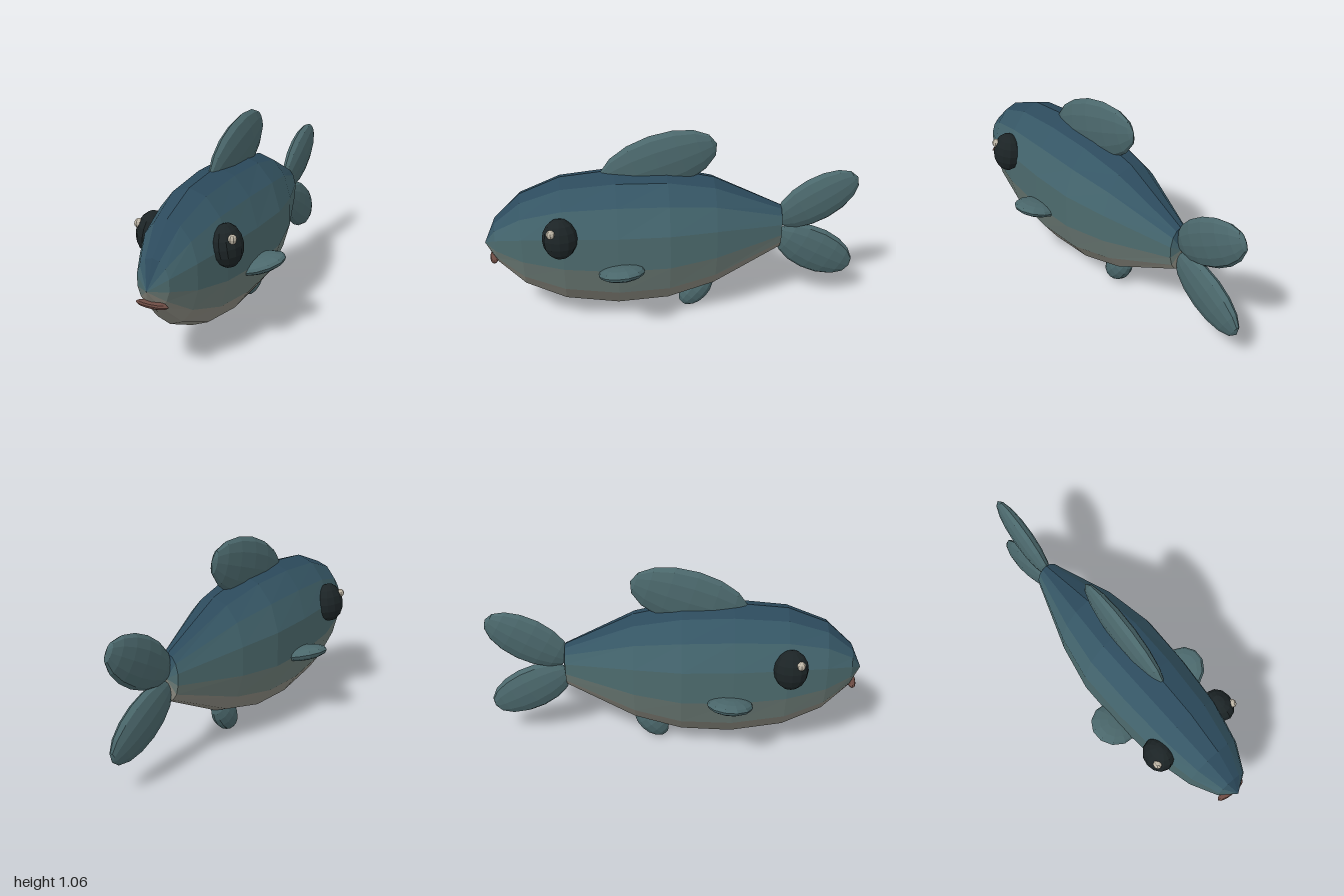
import * as THREE from 'three';

const FIN = 0x4b686c;
const mat = (color) => new THREE.MeshStandardMaterial({ color, flatShading: true });

// Faceted ellipsoid used for eyes, mouth and fins
function blob(name, color, pos, radii, rot = [0, 0, 0], sides = 12, rows = 8) {
  const geo = new THREE.SphereGeometry(1, sides, rows);
  geo.scale(...radii);
  const mesh = new THREE.Mesh(geo, mat(color));
  mesh.name = name;
  mesh.position.set(...pos);
  mesh.rotation.set(...rot);
  return mesh;
}

// Upright fin: long axis points backwards, raised by the given angle in degrees
function fin(name, y, z, length, width, thickness, degrees) {
  const tilt = THREE.MathUtils.degToRad(degrees - 90);
  return blob(name, FIN, [0, y, z], [thickness, length, width], [tilt, 0, 0]);
}

// Body cross-sections from nose to tail: z, top y, bottom y, half width
const RINGS = [
  [1.0, 0.47, 0.47, 0],
  [0.94, 0.61, 0.365, 0.085],
  [0.8, 0.747, 0.22, 0.155],
  [0.59, 0.832, 0.117, 0.205],
  [0.31, 0.857, 0.072, 0.23],
  [0.04, 0.848, 0.088, 0.235],
  [-0.21, 0.79, 0.157, 0.188],
  [-0.58, 0.603, 0.352, 0.065],
  [-0.595, 0.4775, 0.4775, 0],
];
const SIDES = 14;

function ringPoint(i, j) {
  const [z, top, bottom, w] = RINGS[i];
  const a = (j / SIDES) * Math.PI * 2;
  const c = Math.cos(a);
  const up = c > 0 ? Math.pow(c, 0.87) : c;
  return [w * Math.sin(a), (top + bottom) / 2 + (up * (top - bottom)) / 2, z];
}

// Body split into lengthwise colour bands, from dark back to pale belly
function makeBody() {
  const body = new THREE.Group();
  body.name = 'body';
  const bands = [
    ['back', 0x2c4a5c, [0]],
    ['shoulder', 0x365766, [1]],
    ['upperFlank', 0x456770, [2]],
    ['flank', 0x4d6b6e, [3]],
    ['lowerFlank', 0x6b7a75, [4]],
    ['belly', 0x8b8a80, [5, 6]],
  ];
  for (const [name, color, columns] of bands) {
    const pos = [];
    for (let j = 0; j < SIDES; j++) {
      if (!columns.includes(Math.min(j, SIDES - 1 - j))) continue;
      for (let i = 0; i < RINGS.length - 1; i++) {
        const a = ringPoint(i, j), b = ringPoint(i + 1, j);
        const c = ringPoint(i, j + 1), d = ringPoint(i + 1, j + 1);
        if (i > 0) pos.push(...a, ...c, ...b);
        if (i < RINGS.length - 2) pos.push(...c, ...d, ...b);
      }
    }
    const geo = new THREE.BufferGeometry();
    geo.setAttribute('position', new THREE.Float32BufferAttribute(pos, 3));
    geo.computeVertexNormals();
    const mesh = new THREE.Mesh(geo, mat(color));
    mesh.name = name;
    body.add(mesh);
  }
  return body;
}

export function createModel() {
  const fish = new THREE.Group();
  fish.name = 'fish';
  fish.add(makeBody());

  // Mouth
  fish.add(blob('mouth', 0x6b4a42, [0, 0.39, 0.955], [0.086, 0.019, 0.025], [0, 0, 0], 12, 6));

  // Fins on the centre line
  fish.add(fin('dorsalFin', 0.88, 0.08, 0.32, 0.162, 0.05, 18));
  fish.add(fin('upperTailFin', 0.625, -0.78, 0.245, 0.132, 0.048, 30));
  fish.add(fin('lowerTailFin', 0.315, -0.78, 0.245, 0.13, 0.048, -30));
  fish.add(fin('ventralFin', 0.105, -0.125, 0.12, 0.075, 0.056, 50));

  // Paired parts on both sides
  for (const [side, s] of [['left', 1], ['right', -1]]) {
    fish.add(blob(side + 'Eye', 0x1c2426, [s * 0.205, 0.583, 0.602],
      [0.073, 0.108, 0.09], [0, 0, s * 0.15]));
    fish.add(blob(side + 'EyeGlint', 0xbdb5a5, [s * 0.25, 0.635, 0.645],
      [0.022, 0.024, 0.024], [0, 0, 0], 8, 6));
    fish.add(blob(side + 'PectoralFin', FIN, [s * 0.235, 0.38, 0.295],
      [0.135, 0.04, 0.122], [0, s * 0.25, s * 0.3]));
  }
  return fish;
}
